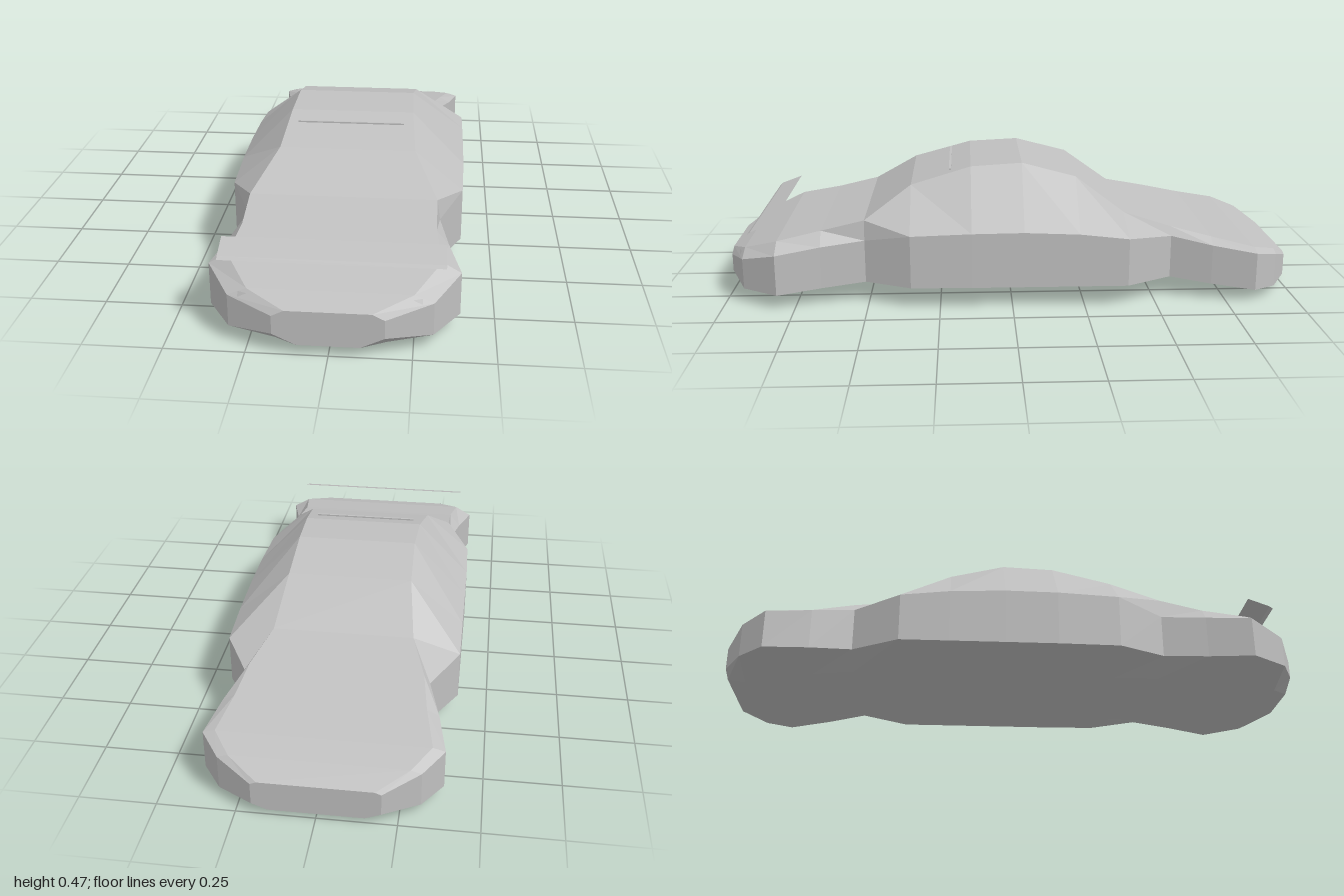
import * as THREE from 'three';

// Body cross-sections, front to back:
// z, top half-width, top y, shoulder half-width, shoulder y, sill y, floor half-width, floor y
const SECTIONS = [
  [1.0, 0.13, 0.152, 0.168, 0.133, 0.072, 0.095, 0.037],
  [0.935, 0.25, 0.185, 0.31, 0.16, 0.053, 0.17, 0.02],
  [0.81, 0.33, 0.23, 0.39, 0.195, 0.053, 0.2, 0.024],
  [0.66, 0.31, 0.26, 0.35, 0.212, 0.064, 0.2, 0.032],
  [0.51, 0.31, 0.295, 0.32, 0.225, 0.075, 0.2, 0.04],
  [0.35, 0.23, 0.4, 0.395, 0.26, 0.075, 0.2, 0.04],
  [0.14, 0.215, 0.46, 0.4, 0.268, 0.075, 0.2, 0.04],
  [-0.04, 0.21, 0.47, 0.4, 0.27, 0.075, 0.2, 0.04],
  [-0.23, 0.215, 0.42, 0.4, 0.262, 0.075, 0.2, 0.04],
  [-0.4, 0.24, 0.295, 0.4, 0.243, 0.075, 0.2, 0.04],
  [-0.56, 0.29, 0.255, 0.31, 0.225, 0.075, 0.2, 0.04],
  [-0.7, 0.31, 0.222, 0.35, 0.2, 0.06, 0.2, 0.027],
  [-0.85, 0.34, 0.19, 0.38, 0.178, 0.045, 0.19, 0.012],
  [-0.935, 0.28, 0.165, 0.315, 0.155, 0.037, 0.175, 0.003],
  [-1.0, 0.18, 0.123, 0.2, 0.115, 0.04, 0.15, 0.02],
];

// Flat-shaded geometry from points and triangle indices
function faceted(points, index) {
  const g = new THREE.BufferGeometry();
  g.setAttribute('position', new THREE.Float32BufferAttribute(points.flat(), 3));
  g.setIndex(index);
  const flat = g.toNonIndexed();
  flat.computeVertexNormals();
  return flat;
}

// Closed skin through mirrored eight-point rings
function bodyGeometry() {
  const points = [], index = [], n = 8, last = (SECTIONS.length - 1) * n;
  for (const [z, tx, ty, sx, sy, ly, fx, fy] of SECTIONS) {
    const half = [[fx, fy, z], [sx, ly, z], [sx, sy, z], [tx, ty, z]];
    points.push(...half, ...half.map(([x, y]) => [-x, y, z]).reverse());
  }
  for (let i = 0; i < last; i += n) {
    for (let j = 0; j < n; j++) {
      const k = (j + 1) % n;
      const a = i + j, b = i + k, c = a + n, d = b + n;
      // mirrored diagonals keep both sides alike
      if (j < 4) index.push(a, c, b, b, c, d);
      else index.push(a, c, d, a, d, b);
    }
  }
  for (let j = 1; j < n - 1; j++) {
    index.push(0, j, j + 1, last, last + j + 1, last + j);
  }
  return faceted(points, index);
}

export function createModel() {
  const car = new THREE.Group();
  car.name = 'carBody';
  const grey = new THREE.MeshStandardMaterial({ color: 0xc0c0c0, side: THREE.DoubleSide });
  grey.name = 'bodyGrey';
  const add = (name, geometry) => {
    const mesh = new THREE.Mesh(geometry, grey);
    mesh.name = name;
    car.add(mesh);
    return mesh;
  };

  add('bodyShell', bodyGeometry());

  // Floating blade: sloping sheet with a lip tucked under its front edge
  const w = 0.343;
  add('blade', faceted(
    [[-w, 0.295, 0.82], [w, 0.295, 0.82], [w, 0.267, 0.895], [-w, 0.267, 0.895]],
    [0, 3, 2, 0, 2, 1]));
  add('bladeLip', faceted(
    [[-w, 0.267, 0.895], [w, 0.267, 0.895], [w, 0.259, 0.905], [-w, 0.259, 0.905]],
    [0, 3, 2, 0, 2, 1]));

  // Thin strip across the upper windscreen
  const strip = add('windscreenStrip', new THREE.BoxGeometry(0.37, 0.005, 0.008));
  strip.position.set(0, 0.443, 0.213);

  // Small triangular lamps on the nose corners
  for (const s of [1, -1]) {
    add(s > 0 ? 'leftLamp' : 'rightLamp', faceted(
      [[s * 0.247, 0.178, 0.953], [s * 0.275, 0.178, 0.941], [s * 0.275, 0.163, 0.95]],
      s > 0 ? [0, 2, 1] : [0, 1, 2]));
  }
  return car;
}
